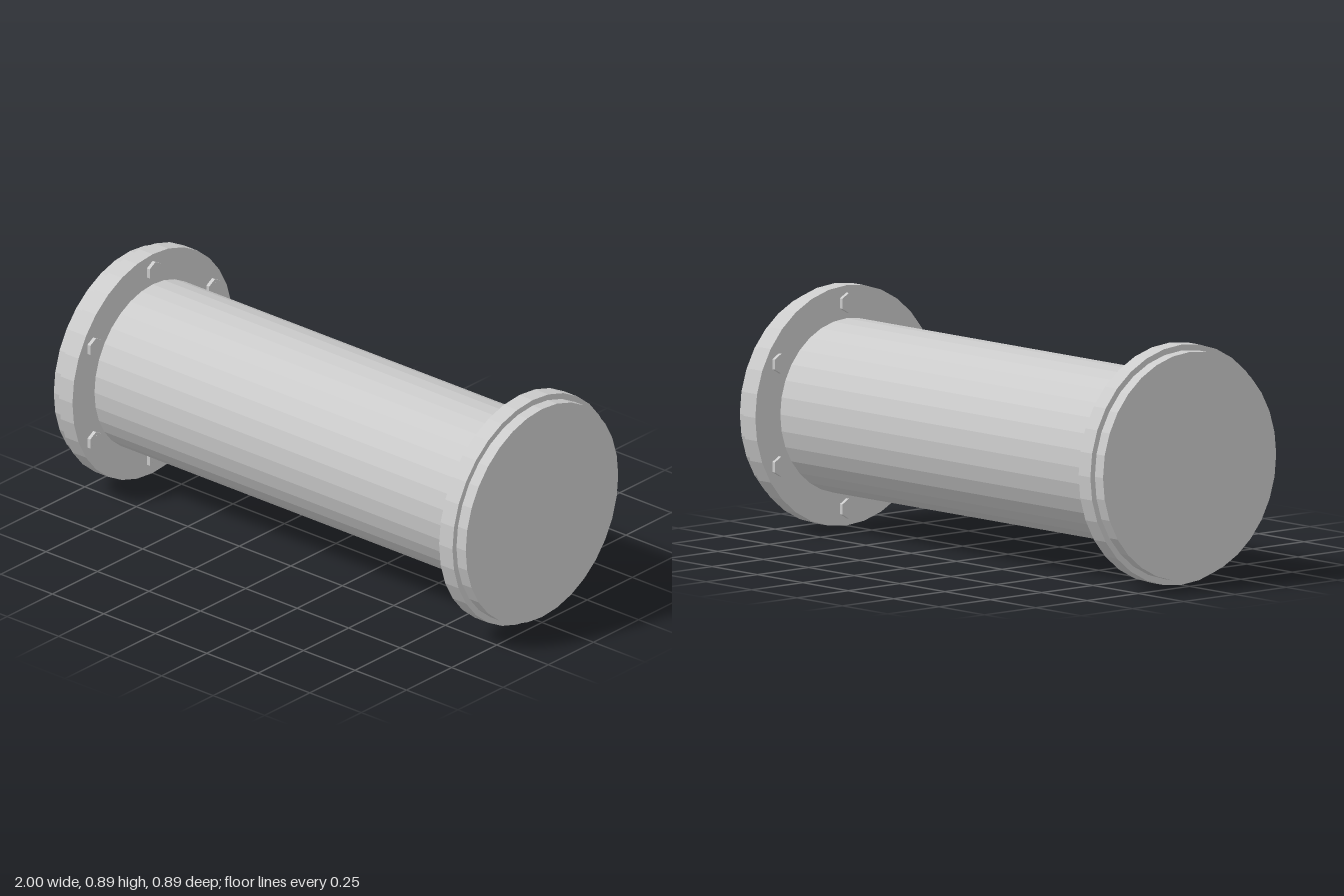
import * as THREE from 'three';

const CENTER_Y = 0.444;
const material = new THREE.MeshStandardMaterial({ color: 0xcccccc, flatShading: true });

// Cylinder lying along x, spanning x0..x1
function disc(name, radius, x0, x1, sides = 32) {
  const geometry = new THREE.CylinderGeometry(radius, radius, x1 - x0, sides);
  geometry.rotateZ(-Math.PI / 2);
  const mesh = new THREE.Mesh(geometry, material);
  mesh.name = name;
  mesh.position.x = (x0 + x1) / 2;
  return mesh;
}

// Hexagonal nut with an open bore and a recessed bolt end, on the flange's inner face
function makeNut() {
  const nut = new THREE.Group();
  nut.name = 'flangeNut';
  const hexagon = (radius) => Array.from({ length: 6 }, (_, i) => {
    const a = (i * Math.PI) / 3;
    return new THREE.Vector2(radius * Math.sin(a), radius * Math.cos(a));
  });
  const shape = new THREE.Shape(hexagon(0.037));
  shape.holes.push(new THREE.Path(hexagon(0.023)));
  const geometry = new THREE.ExtrudeGeometry(shape, { depth: 0.014, bevelEnabled: false });
  geometry.rotateY(-Math.PI / 2);
  const ring = new THREE.Mesh(geometry, material);
  ring.name = 'hexNut';
  ring.position.x = 0.89;
  nut.add(ring, disc('boltEnd', 0.02, 0.88, 0.892, 12));
  return nut;
}

// Flange, end cap and six nuts for the +x end
function makeEnd() {
  const end = new THREE.Group();
  end.add(disc('flange', 0.444, 0.89, 0.955), disc('endCap', 0.422, 0.955, 1));
  for (let i = 0; i < 6; i++) {
    const a = (i * Math.PI) / 3;
    const nut = makeNut();
    nut.position.set(0, 0.38 * Math.cos(a), 0.38 * Math.sin(a));
    end.add(nut);
  }
  return end;
}

export function createModel() {
  const model = new THREE.Group();
  model.name = 'flangedPipe';
  const assembly = new THREE.Group();
  assembly.name = 'pipeAssembly';
  assembly.position.y = CENTER_Y;
  assembly.add(disc('pipe', 0.322, -0.89, 0.89));

  // Matching ends, the second turned half round
  const leftEnd = makeEnd();
  leftEnd.name = 'leftEnd';
  const rightEnd = makeEnd();
  rightEnd.name = 'rightEnd';
  rightEnd.rotation.y = Math.PI;
  assembly.add(leftEnd, rightEnd);

  model.add(assembly);
  return model;
}
